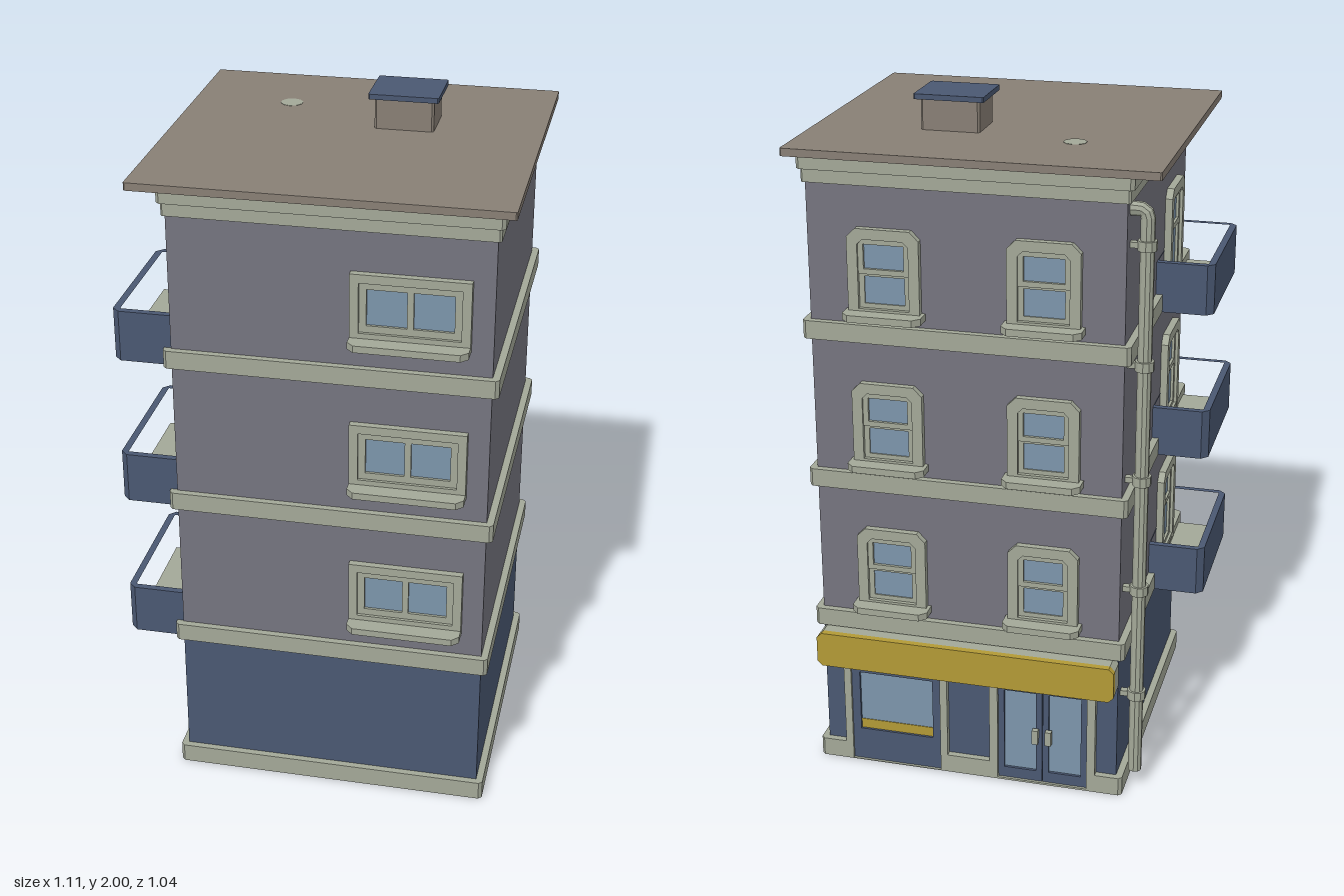
import * as THREE from 'three';

const mat = (color) => new THREE.MeshStandardMaterial({ color, flatShading: true });
const WALL = mat(0x75747f), TRIM = mat(0xa3a898), NAVY = mat(0x4a5872), ROOF = mat(0x887f75),
  YELLOW = mat(0xb39a36), GLASS = mat(0x7c95ab);

// Main body extents
const X0 = -0.39, X1 = 0.502, Z0 = -0.447, Z1 = 0.449, CX = (X0 + X1) / 2;

function add(parent, name, geo, material, x = 0, y = 0, z = 0) {
  const m = new THREE.Mesh(geo, material);
  m.name = name;
  m.position.set(x, y, z);
  parent.add(m);
  return m;
}

// Box given by its limits
function box(parent, name, material, x0, x1, y0, y1, z0, z1) {
  return add(parent, name, new THREE.BoxGeometry(x1 - x0, y1 - y0, z1 - z0), material,
    (x0 + x1) / 2, (y0 + y1) / 2, (z0 + z1) / 2);
}

// Floor plan of [x, z] points raised from y0 to y1
function raise(parent, name, material, points, y0, y1, hole) {
  const toV = ([x, z]) => new THREE.Vector2(x, -z);
  const s = new THREE.Shape(points.map(toV));
  if (hole) s.holes.push(new THREE.Path(hole.map(toV)));
  const g = new THREE.ExtrudeGeometry(s, { depth: y1 - y0, bevelEnabled: false });
  g.rotateX(-Math.PI / 2);
  return add(parent, name, g, material, 0, y0, 0);
}

// Rectangle with cut corners, as points
function cutRect(x0, x1, z0, z1, c) {
  return [[x0 + c, z0], [x1 - c, z0], [x1, z0 + c], [x1, z1 - c],
    [x1 - c, z1], [x0 + c, z1], [x0, z1 - c], [x0, z0 + c]];
}

// Upright outline whose top (and optionally bottom) corners are cut
function outline(w, y0, y1, top, bottom = 0) {
  const h = w / 2;
  return [[-h + bottom, y0], [h - bottom, y0], [h, y0 + bottom], [h, y1 - top],
    [h - top, y1], [-h + top, y1], [-h, y1 - top], [-h, y0 + bottom]]
    .map(([x, y]) => new THREE.Vector2(x, y));
}

function frame(parent, name, material, w, y0, y1, t, cut, z0, z1, sillT = t) {
  const s = new THREE.Shape(outline(w, y0, y1, cut));
  s.holes.push(new THREE.Path(outline(w - 2 * t, y0 + sillT, y1 - t, cut * 0.6)));
  add(parent, name, new THREE.ExtrudeGeometry(s, { depth: z1 - z0, bevelEnabled: false }), material, 0, 0, z0);
}

function sill(parent, w, y0, y1, depth) {
  const h = w / 2, c = 0.02;
  raise(parent, 'sill', TRIM,
    [[-h, 0], [h, 0], [h, depth - c], [h - c, depth], [-h + c, depth], [-h, depth - c]], y0, y1);
}

// Group standing on a wall, local +z pointing outwards
function onWall(parent, name, x, y, z, angle) {
  const g = new THREE.Group();
  g.name = name;
  g.position.set(x, y, z);
  g.rotation.y = angle;
  parent.add(g);
  return g;
}

// Two panes side by side
function frontWindow(parent, y) {
  const g = onWall(parent, 'frontWindow', 0.278, y, Z1, 0);
  frame(g, 'windowFrame', TRIM, 0.328, 0.14, 0.33, 0.025, 0, 0, 0.021, 0.02);
  frame(g, 'sash', TRIM, 0.278, 0.16, 0.305, 0.02, 0, 0, 0.012);
  box(g, 'mullion', TRIM, -0.009, 0.009, 0.16, 0.3, 0, 0.012);
  box(g, 'glass', GLASS, -0.125, 0.125, 0.165, 0.295, -0.01, 0.004);
  sill(g, 0.328, 0.125, 0.145, 0.07);
}

// Tall sash window with an upper and a lower pane
function sashWindow(parent, x, y) {
  const g = onWall(parent, 'backWindow', x, y, Z0, Math.PI);
  frame(g, 'windowFrame', TRIM, 0.205, 0.09, 0.33, 0.03, 0.025, 0, 0.02, 0.012);
  frame(g, 'upperSash', TRIM, 0.145, 0.2, 0.3, 0.015, 0, 0, 0.013);
  frame(g, 'lowerSash', TRIM, 0.145, 0.1, 0.208, 0.015, 0, 0, 0.008);
  box(g, 'glass', GLASS, -0.068, 0.068, 0.1, 0.295, -0.01, 0.004);
  sill(g, 0.225, 0.075, 0.095, 0.066);
}

// Balcony with its door on the -x wall
function balcony(parent, y) {
  const g = onWall(parent, 'balcony', X0, y, 0.222, -Math.PI / 2);
  const h = 0.223, d = 0.168, c = 0.02;
  const rim = [[-h, 0], [h, 0], [h, d - c], [h - c, d], [-h + c, d], [-h, d - c]];
  raise(g, 'balconyWall', NAVY, rim, 0, 0.15,
    [[-h + c, 0.002], [h - c, 0.002], [h - c, d - c], [-h + c, d - c]]);
  box(g, 'balconyBase', NAVY, -h + c, h - c, 0, 0.012, 0, d - c);
  box(g, 'balconyFloor', TRIM, -h + c, h - c, 0.012, 0.03, 0, d - c);
  frame(g, 'doorFrame', TRIM, 0.21, 0.03, 0.33, 0.03, 0.025, 0, 0.021, 0.01);
  frame(g, 'doorLeaf', TRIM, 0.15, 0.035, 0.3, 0.018, 0, 0, 0.012, 0.03);
  box(g, 'doorRail', TRIM, -0.07, 0.07, 0.19, 0.206, 0, 0.012);
  box(g, 'doorGlass', GLASS, -0.07, 0.07, 0.05, 0.295, -0.01, 0.004);
}

// Shop window, double door and sign on the back wall
function shopFront(parent) {
  const w = onWall(parent, 'shopWindow', CX + 0.225, 0, Z0, Math.PI);
  frame(w, 'shopWindowFrame', TRIM, 0.32, 0.0, 0.345, 0.022, 0.02, 0, 0.02, 0.002);
  frame(w, 'shopWindowPanel', NAVY, 0.276, 0, 0.323, 0.025, 0, -0.005, 0.012, 0.105);
  box(w, 'shopGlass', GLASS, -0.115, 0.115, 0.1, 0.3, -0.01, 0.003);
  box(w, 'displayStrip', YELLOW, -0.113, 0.113, 0.105, 0.135, 0, 0.005);

  const d = onWall(parent, 'shopDoor', CX - 0.225, 0, Z0, Math.PI);
  frame(d, 'shopDoorFrame', TRIM, 0.32, 0, 0.345, 0.025, 0.02, 0, 0.02, 0.006);
  for (const s of [-1, 1]) {
    const leaf = onWall(d, 'doorLeaf', s * 0.0675, 0, 0, 0);
    frame(leaf, 'leafFrame', NAVY, 0.133, 0.005, 0.32, 0.018, 0, -0.005, 0.012, 0.035);
    box(leaf, 'leafGlass', GLASS, -0.055, 0.055, 0.03, 0.31, -0.01, 0.004);
    box(d, 'handle', TRIM, s * 0.02 - 0.009, s * 0.02 + 0.009, 0.14, 0.185, 0.012, 0.028);
  }

  const sign = onWall(parent, 'shopSign', CX, 0, Z0, Math.PI);
  const board = (name, m, z, depth) => add(sign, name, new THREE.ExtrudeGeometry(
    new THREE.Shape(outline(0.894, 0.34, 0.447, 0.015, 0.015)), { depth, bevelEnabled: false }), m, 0, 0, z);
  board('signBox', TRIM, 0, 0.05);
  board('signBoard', YELLOW, 0.05, 0.02);
}

// Drainpipe with collars and an elbow into the wall
function drainpipe(parent) {
  const g = onWall(parent, 'drainpipe', -0.436, 0, -0.4, 0);
  const path = new THREE.CurvePath();
  const v = (x, y) => new THREE.Vector3(x, y, 0);
  path.add(new THREE.LineCurve3(v(0, 0.058), v(0, 1.745)));
  path.add(new THREE.QuadraticBezierCurve3(v(0, 1.745), v(0, 1.772), v(0.025, 1.772)));
  path.add(new THREE.LineCurve3(v(0.025, 1.772), v(0.06, 1.772)));
  add(g, 'pipe', new THREE.TubeGeometry(path, 120, 0.02, 10), TRIM);
  add(g, 'pipeEnd', new THREE.CylinderGeometry(0.02, 0.02, 0.01, 10), TRIM, 0, 0.063, 0);
  for (let i = 0; i < 5; i++) {
    const y = 0.313 + i * 0.34;
    add(g, 'collar', new THREE.CylinderGeometry(0.027, 0.027, 0.028, 10), TRIM, 0, y, 0);
    box(g, 'bracket', TRIM, 0, 0.05, y - 0.008, y + 0.008, -0.01, 0.01);
  }
}

export function createModel() {
  const root = new THREE.Group();
  root.name = 'apartmentBuilding';
  const around = (o, c) => cutRect(X0 - o, X1 + o, Z0 - o, Z1 + o, c);

  // Walls
  box(root, 'groundFloor', NAVY, X0, X1, 0.01, 0.46, Z0, Z1);
  box(root, 'upperFloors', WALL, X0, X1, 0.46, 1.875, Z0, Z1);

  // Plinth, open at the shop window and the door
  const o = 0.02, notch = [];
  for (const x of [CX - 0.225, CX + 0.225]) {
    notch.push([x - 0.158, Z0 - o], [x - 0.158, Z0 + 0.005], [x + 0.158, Z0 + 0.005], [x + 0.158, Z0 - o]);
  }
  raise(root, 'plinth', TRIM, [[X0 - o + 0.01, Z0 - o], ...notch, ...around(o, 0.01).slice(1)], 0, 0.057);

  // Floor bands and everything that repeats per floor
  for (const y of [0.45, 0.9, 1.35]) {
    raise(root, 'floorBand', TRIM, around(o, 0.01), y, y + 0.053);
    frontWindow(root, y);
    for (const s of [-1, 1]) sashWindow(root, CX + s * 0.225, y);
    balcony(root, y);
  }
  shopFront(root);
  drainpipe(root);

  // Cornice and roof
  raise(root, 'lowerCornice', TRIM, around(0.01, 0.006), 1.797, 1.835);
  raise(root, 'upperCornice', TRIM, around(o, 0.01), 1.835, 1.876);
  raise(root, 'roof', ROOF, cutRect(-0.487, 0.553, -0.496, 0.495, 0.004), 1.875, 1.897);
  add(root, 'roofVent', new THREE.CylinderGeometry(0.033, 0.033, 0.02, 10), TRIM, -0.2, 1.888, -0.234);

  // Chimney
  raise(root, 'chimney', ROOF, cutRect(0.078, 0.247, -0.203, -0.059, 0.006), 1.89, 1.987);
  raise(root, 'chimneyCap', NAVY, cutRect(0.062, 0.262, -0.219, -0.046, 0.004), 1.985, 2);
  return root;
}
